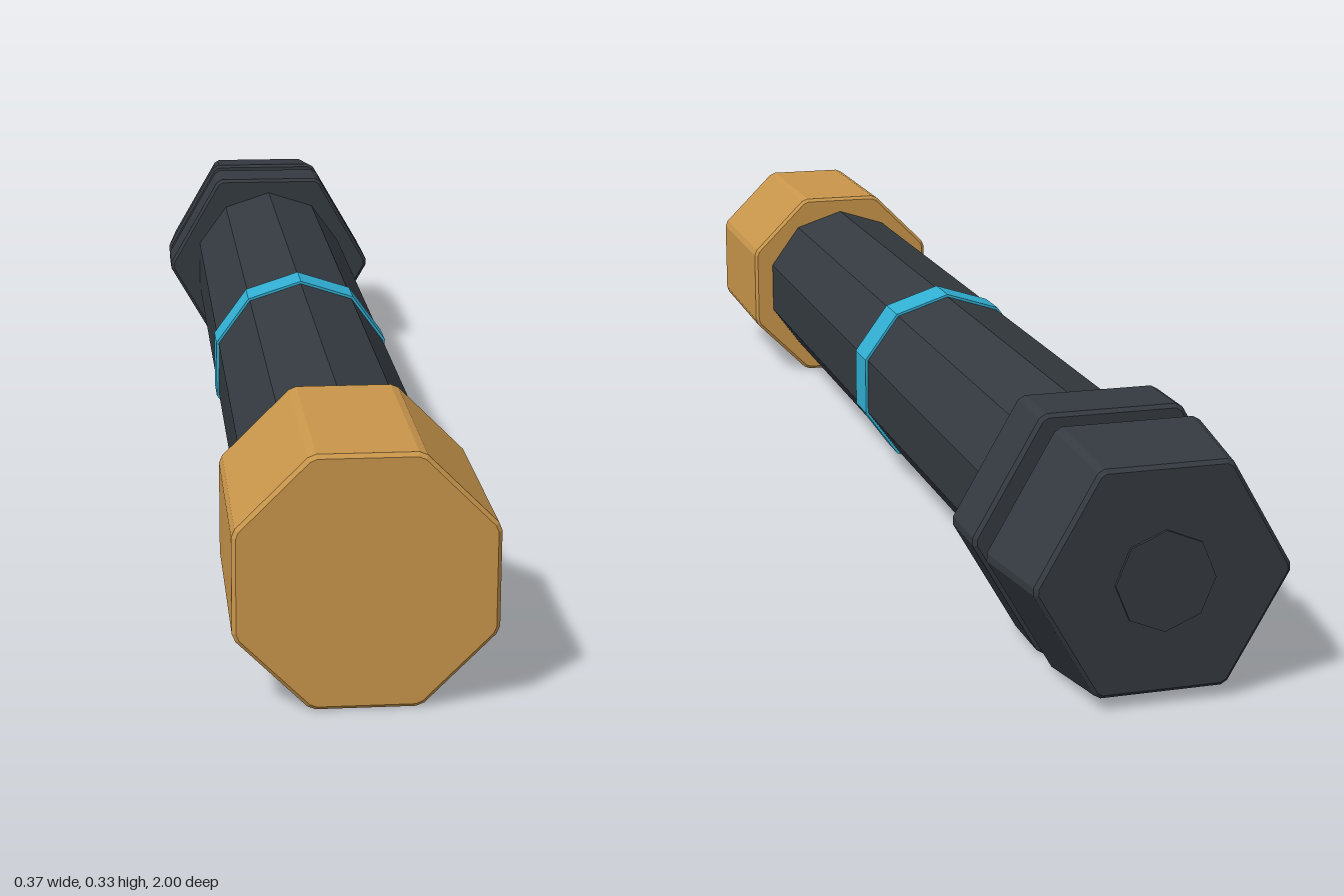
import * as THREE from 'three';

const gold = new THREE.MeshStandardMaterial({ color: 0xc9964b, flatShading: true, name: 'gold' });
const charcoal = new THREE.MeshStandardMaterial({ color: 0x343a40, flatShading: true, name: 'charcoal' });
const cyan = new THREE.MeshStandardMaterial({ color: 0x31afd3, flatShading: true, name: 'cyan' });

const BEVEL = 0.005;

// Polygon outline with every corner trimmed by a small cut
function trimmedPolygon(sides, radius, phase, cut) {
  const corner = (i) => {
    const a = phase + (i / sides) * Math.PI * 2;
    return new THREE.Vector2(Math.cos(a) * radius, Math.sin(a) * radius);
  };
  const side = 2 * radius * Math.sin(Math.PI / sides);
  const points = [];
  for (let i = 0; i < sides; i++) {
    points.push(corner(i).lerp(corner(i - 1), cut / side));
    points.push(corner(i).lerp(corner(i + 1), cut / side));
  }
  return new THREE.Shape(points);
}

// Bevelled prism along z; backScale tapers it towards the back end
function bevelledPrism(sides, radius, phase, back, front, backScale = 1) {
  const inset = radius - BEVEL / Math.cos(Math.PI / sides);
  const geometry = new THREE.ExtrudeGeometry(trimmedPolygon(sides, inset, phase, 0.005), {
    depth: front - back - 2 * BEVEL,
    bevelSize: BEVEL,
    bevelThickness: BEVEL,
    bevelSegments: 1,
    steps: 1,
  });
  geometry.translate(0, 0, back + BEVEL);
  const p = geometry.attributes.position;
  for (let i = 0; i < p.count; i++) {
    const s = THREE.MathUtils.mapLinear(p.getZ(i), back, front, backScale, 1);
    p.setXY(i, p.getX(i) * s, p.getY(i) * s);
  }
  geometry.computeVertexNormals();
  return geometry;
}

// Plain faceted cylinder along z
function rod(sides, radius, back, front, turn = 0) {
  return new THREE.CylinderGeometry(radius, radius, front - back, sides)
    .rotateY(turn)
    .rotateX(Math.PI / 2)
    .translate(0, 0, (front + back) / 2);
}

export function createModel() {
  const model = new THREE.Group();
  model.name = 'handle';
  const add = (name, geometry, material) => {
    const mesh = new THREE.Mesh(geometry, material);
    mesh.name = name;
    mesh.position.y = 0.165;
    model.add(mesh);
  };

  // Ten-sided grip with a bright band round the middle
  add('grip', rod(10, 0.139, -0.71, 0.71), charcoal);
  add('gripBand', rod(10, 0.143, -0.032, 0.032), cyan);

  // Octagonal front cap, flat side up
  add('frontCap', bevelledPrism(8, 0.165 / Math.cos(Math.PI / 8), Math.PI / 8, 0.7, 1), gold);

  // Hexagonal rear collar, neck and tapered pommel, corners to the sides
  add('rearCollar', bevelledPrism(6, 0.19, 0, -0.8, -0.7), charcoal);
  add('rearNeck', rod(6, 0.16, -0.86, -0.79, Math.PI / 6), charcoal);
  add('pommel', bevelledPrism(6, 0.19, 0, -0.996, -0.85, 0.9), charcoal);
  add('pommelButton', rod(8, 0.066, -1, -0.98), charcoal);

  return model;
}
